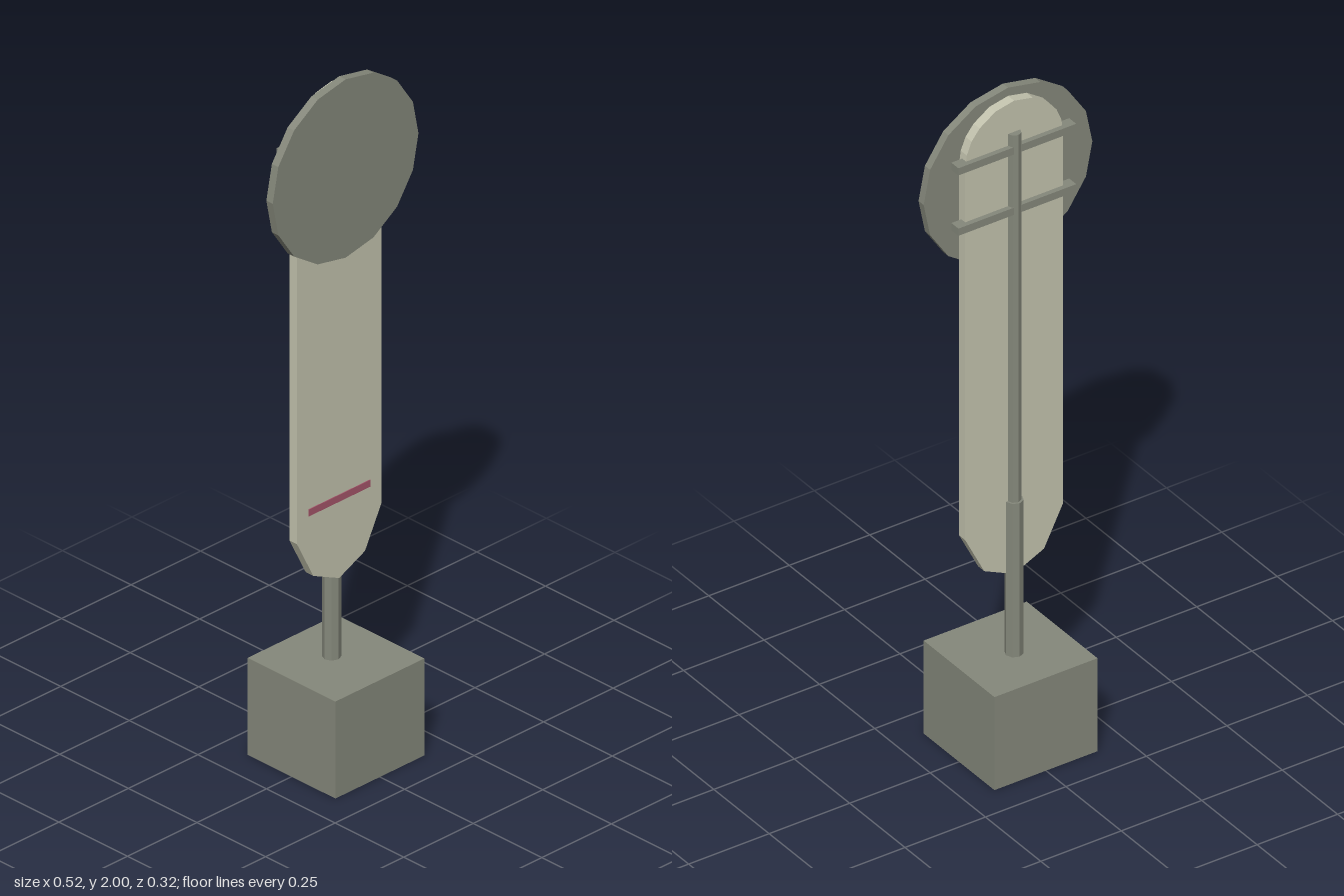
import * as THREE from 'three';

export function createModel() {
  const model = new THREE.Group();
  model.name = 'signPost';

  const material = (name, color) => {
    const m = new THREE.MeshStandardMaterial({ color });
    m.name = name;
    m.flatShading = true;
    return m;
  };
  const grey = material('grey', 0x85887b);
  const cream = material('cream', 0xc4c4af);
  const red = material('red', 0xa5566a);

  const add = (name, geometry, mat, x, y, z) => {
    const mesh = new THREE.Mesh(geometry, mat);
    mesh.name = name;
    mesh.position.set(x, y, z);
    model.add(mesh);
    return mesh;
  };

  // Foundation block
  add('base', new THREE.BoxGeometry(0.32, 0.285, 0.32), grey, 0, 0.1425, 0);

  // Octagonal post: thick lower sleeve, thinner upper pole
  const pole = (name, r, y0, y1) =>
    add(name, new THREE.CylinderGeometry(r, r, y1 - y0, 8), grey, 0, (y0 + y1) / 2, -0.016);
  pole('lowerPole', 0.025, 0.285, 0.755);
  pole('upperPole', 0.019, 0.755, 1.88);

  // Long board, rounded at the top and with a faceted bottom
  const rightSide = [
    [0.093, 0.568], [0.152, 0.685], [0.152, 1.823], [0.147, 1.862],
    [0.132, 1.899], [0.107, 1.93], [0.058, 1.963],
  ];
  const outline = [
    [0, 0.525], ...rightSide, [0, 1.975],
    ...rightSide.map(([x, y]) => [-x, y]).reverse(),
  ].map(([x, y]) => new THREE.Vector2(x, y));
  add('board', new THREE.ExtrudeGeometry(new THREE.Shape(outline), {
    depth: 0.0275, bevelEnabled: false,
  }), cream, 0, 0, -0.016);

  // Painted stripe low on the board
  add('stripe', new THREE.BoxGeometry(0.222, 0.02, 0.003), red, 0, 0.761, 0.0125);

  // Round plate in front of the board
  const disc = new THREE.CylinderGeometry(0.262, 0.262, 0.0235, 16).rotateX(Math.PI / 2);
  add('disc', disc, grey, 0, 1.738, 0.0233);

  // Cross bars clamping the board to the post
  for (const y of [1.833, 1.648]) {
    add('crossBar', new THREE.BoxGeometry(0.366, 0.022, 0.032), grey, 0, y, -0.0145);
  }

  return model;
}
